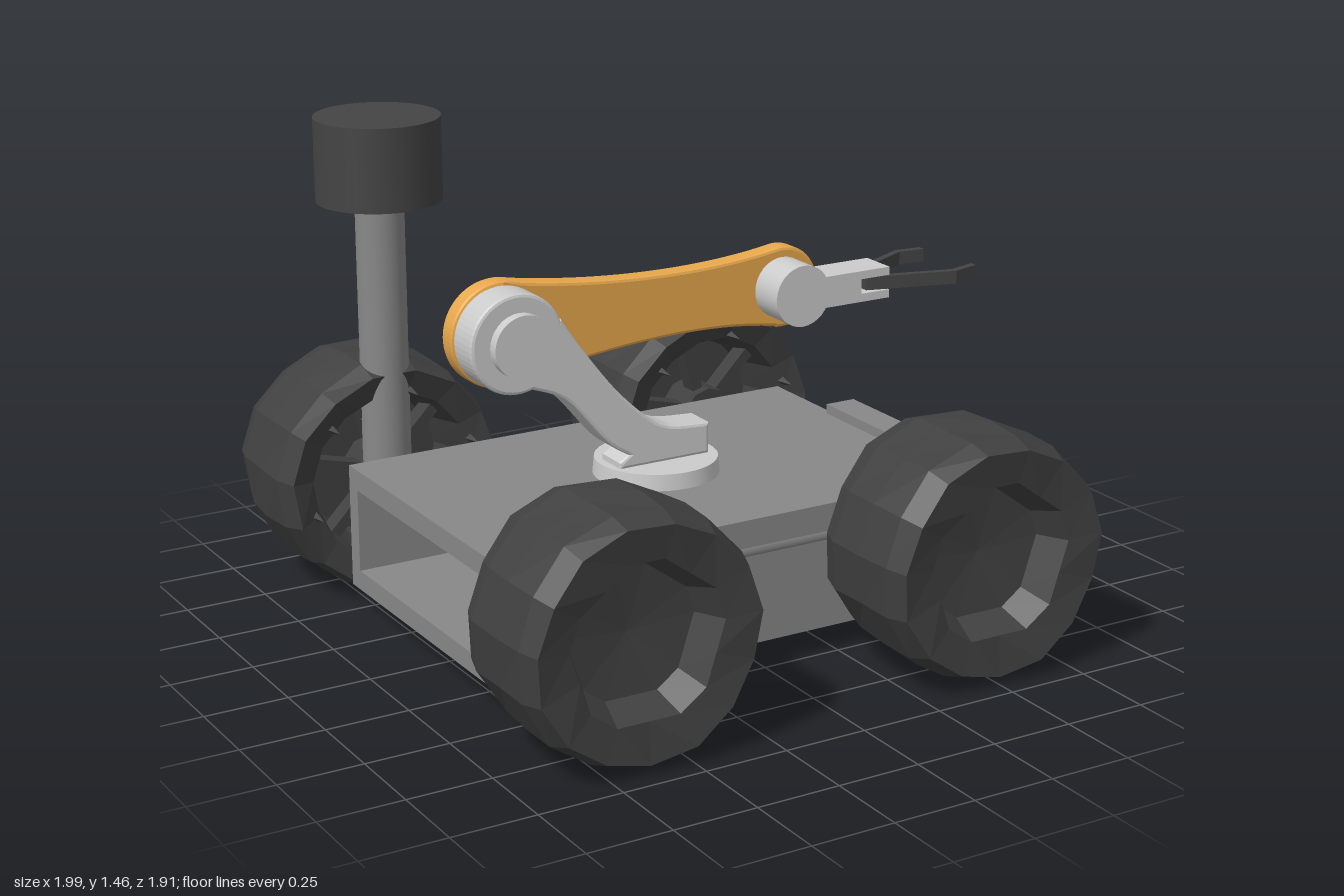
import * as THREE from 'three';

const paint = (color, extra = {}) => new THREE.MeshStandardMaterial({ color, ...extra });
const light = paint(0xcccccc);
const grey = paint(0x888888);
const dark = paint(0x444444);
const orange = paint(0xe8a84c);
const rubber = paint(0x404040, { flatShading: true });

const AXLE_Y = 0.37;
const WHEEL_X = [-0.635, 0.495];

function add(parent, name, geometry, material, x = 0, y = 0, z = 0) {
  const mesh = new THREE.Mesh(geometry, material);
  mesh.name = name;
  mesh.position.set(x, y, z);
  parent.add(mesh);
  return mesh;
}

// Cylinder lying along z between z0 and z1
function pin(parent, name, r, x, y, z0, z1, material, segments = 32) {
  const g = new THREE.CylinderGeometry(r, r, z1 - z0, segments).rotateX(Math.PI / 2);
  return add(parent, name, g, material, x, y, (z0 + z1) / 2);
}

// Flat plate in x/y with softly bevelled edges, between z0 and z1
function plate(parent, name, shape, z0, z1, material, bevel = 0.01) {
  const g = new THREE.ExtrudeGeometry(shape, {
    depth: z1 - z0 - 2 * bevel, bevelEnabled: true, bevelThickness: bevel,
    bevelSize: bevel, bevelOffset: -bevel, bevelSegments: 2, curveSegments: 20,
  });
  return add(parent, name, g, material, 0, 0, z0 + bevel);
}

// Hollow box chassis, open at both ends
function chassis() {
  const s = new THREE.Shape().moveTo(-0.5, 0.09).lineTo(0.5, 0.09).lineTo(0.5, 0.465).lineTo(-0.5, 0.465).closePath();
  const h = new THREE.Path().moveTo(-0.445, 0.15).lineTo(-0.445, 0.402).lineTo(0.445, 0.402).lineTo(0.445, 0.15).closePath();
  s.holes.push(h);
  return new THREE.ExtrudeGeometry(s, { depth: 1.5, bevelEnabled: false })
    .translate(0, 0, -0.82).rotateY(Math.PI / 2);
}

// Rough faceted tyre: axis along z, inner face at z = 0, outer face at z = 0.395
function tyreGeometry() {
  const profile = [
    [0, 0.2], [0.22, 0.2], [0.26, 0.03], [0.335, 0], [0.358, 0.07], [0.362, 0.2],
    [0.358, 0.32], [0.335, 0.39], [0.23, 0.375], [0.19, 0.28], [0, 0.26],
  ].map(([r, t]) => new THREE.Vector2(r, t));
  const g = new THREE.LatheGeometry(profile, 15);
  const p = g.attributes.position;
  for (let i = 0; i < p.count; i++) {
    const x = p.getX(i), t = p.getY(i), z = p.getZ(i);
    const r = Math.hypot(x, z), a = Math.atan2(x, z) + Math.PI;
    let k = 1 + 0.012 * Math.sin(4 * a + 17 * t);
    // the outer recess is five-sided
    if (t > 0.25 && r < 0.25) {
      const m = (a % (Math.PI * 0.4)) - Math.PI / 5;
      k = 0.93 / Math.cos(m);
    }
    const wobble = r > 0.3 ? 0.006 * Math.sin(5 * a + 2) : 0;
    p.setXYZ(i, x * k, t + wobble, z * k);
  }
  g.rotateX(Math.PI / 2);
  g.computeVertexNormals();
  return g;
}

function wheel(tyre) {
  const g = new THREE.Group();
  g.name = 'wheel';
  add(g, 'tyre', tyre, rubber);
  pin(g, 'axle', 0.034, 0, 0, -0.11, 0.22, grey, 20);
  pin(g, 'hub', 0.085, 0, 0, 0.06, 0.21, rubber, 10);
  // spokes and small studs on the inner side
  for (let i = 0; i < 6; i++) {
    const a = (i * Math.PI) / 3 + 0.25;
    const spoke = add(g, 'spoke', new THREE.BoxGeometry(0.2, 0.035, 0.06), rubber,
      0.15 * Math.cos(a), 0.15 * Math.sin(a), 0.12);
    spoke.rotation.z = a;
    const b = a + 0.5;
    const stud = new THREE.ConeGeometry(0.02, 0.08, 4).rotateX(-Math.PI / 2);
    add(g, 'stud', stud, rubber, 0.27 * Math.cos(b), 0.27 * Math.sin(b), 0.008);
  }
  return g;
}

// Lower link: round shoulder, curved taper, square foot
function lowerLinkShape() {
  const s = new THREE.Shape();
  s.moveTo(0.08, 0.51).lineTo(0.08, 0.605).lineTo(0, 0.61);
  s.splineThru([[-0.06, 0.62], [-0.125, 0.655], [-0.23, 0.755], [-0.34, 0.895], [-0.405, 0.99]]
    .map(([x, y]) => new THREE.Vector2(x, y)));
  s.absarc(-0.545, 0.937, 0.147, 0.36, -1.25, false);
  s.splineThru([[-0.39, 0.745], [-0.26, 0.6], [-0.19, 0.55]].map(([x, y]) => new THREE.Vector2(x, y)));
  s.lineTo(-0.22, 0.53).lineTo(-0.22, 0.51).closePath();
  return s;
}

// Upper link: two round ends joined by a waisted bar
function upperLinkShape() {
  const s = new THREE.Shape();
  s.absarc(-0.54, 0.936, 0.156, Math.PI * 0.45, Math.PI * 1.55, false);
  s.bezierCurveTo(-0.3, 0.83, 0.1, 0.88, 0.38, 0.822);
  s.absarc(0.402, 0.942, 0.124, -Math.PI * 0.55, Math.PI * 0.55, false);
  s.bezierCurveTo(0.15, 1.025, -0.2, 1.03, -0.516, 1.09);
  return s;
}

// Bent finger with a square section, following points in x/z
function finger(parent, name, path) {
  const w = 0.012;
  const s = new THREE.Shape();
  path.forEach(([x, z], i) => (i ? s.lineTo(x, -z + w) : s.moveTo(x, -z + w)));
  [...path].reverse().forEach(([x, z]) => s.lineTo(x, -z - w));
  const g = new THREE.ExtrudeGeometry(s, { depth: 0.04, bevelEnabled: false }).rotateX(-Math.PI / 2);
  add(parent, name, g, dark, 0, 0.925, 0);
}

export function createModel() {
  const model = new THREE.Group();
  model.name = 'rover';

  // Body
  add(model, 'chassis', chassis(), grey);
  add(model, 'frontSensorBox', new THREE.BoxGeometry(0.1, 0.12, 0.375), grey, 0.71, 0.435, 0);

  // Wheels and side rails
  const tyre = tyreGeometry();
  for (const side of [1, -1]) {
    const rail = new THREE.CylinderGeometry(0.033, 0.033, 1.13, 20).rotateZ(Math.PI / 2);
    add(model, 'sideRail', rail, grey, -0.07, AXLE_Y, side * 0.47);
    for (const x of WHEEL_X) {
      const w = wheel(tyre);
      w.position.set(x, AXLE_Y, side * 0.56);
      if (side < 0) w.rotation.y = Math.PI;
      model.add(w);
    }
  }

  // Mast with its round head
  add(model, 'mast', new THREE.CylinderGeometry(0.073, 0.073, 0.87, 32), grey, -0.635, 0.785, -0.63);
  add(model, 'mastHead', new THREE.CylinderGeometry(0.187, 0.187, 0.25, 40), dark, -0.635, 1.345, -0.63);

  // Arm
  const arm = new THREE.Group();
  arm.name = 'arm';
  model.add(arm);
  add(arm, 'turntable', new THREE.CylinderGeometry(0.182, 0.187, 0.05, 40), light, -0.065, 0.488, 0);
  plate(arm, 'lowerLink', lowerLinkShape(), -0.05, 0.063, light);
  pin(arm, 'shoulderCap', 0.093, -0.54, 0.937, 0.05, 0.095, light);
  plate(arm, 'upperLink', upperLinkShape(), -0.113, -0.048, orange);
  pin(arm, 'shoulderBoss', 0.095, -0.54, 0.937, -0.143, -0.1, orange);
  pin(arm, 'wristBoss', 0.06, 0.4, 0.942, -0.143, -0.1, orange);

  // Wrist and forked hand
  pin(arm, 'wrist', 0.093, 0.398, 0.943, -0.055, 0.07, light);
  add(arm, 'hand', new THREE.BoxGeometry(0.17, 0.095, 0.118), light, 0.52, 0.943, 0.01);
  for (const s of [1, -1]) {
    add(arm, 'forkPlate', new THREE.BoxGeometry(0.12, 0.025, 0.118), light, 0.645, 0.943 + s * 0.035, 0.01);
  }

  // Gripper fingers
  finger(arm, 'rightFinger', [[0.63, -0.025], [0.71, -0.06], [0.885, -0.147], [0.97, -0.138]]);
  finger(arm, 'leftFinger', [[0.63, 0.045], [0.71, 0.068], [0.905, 0.122], [0.995, 0.097]]);

  return model;
}
